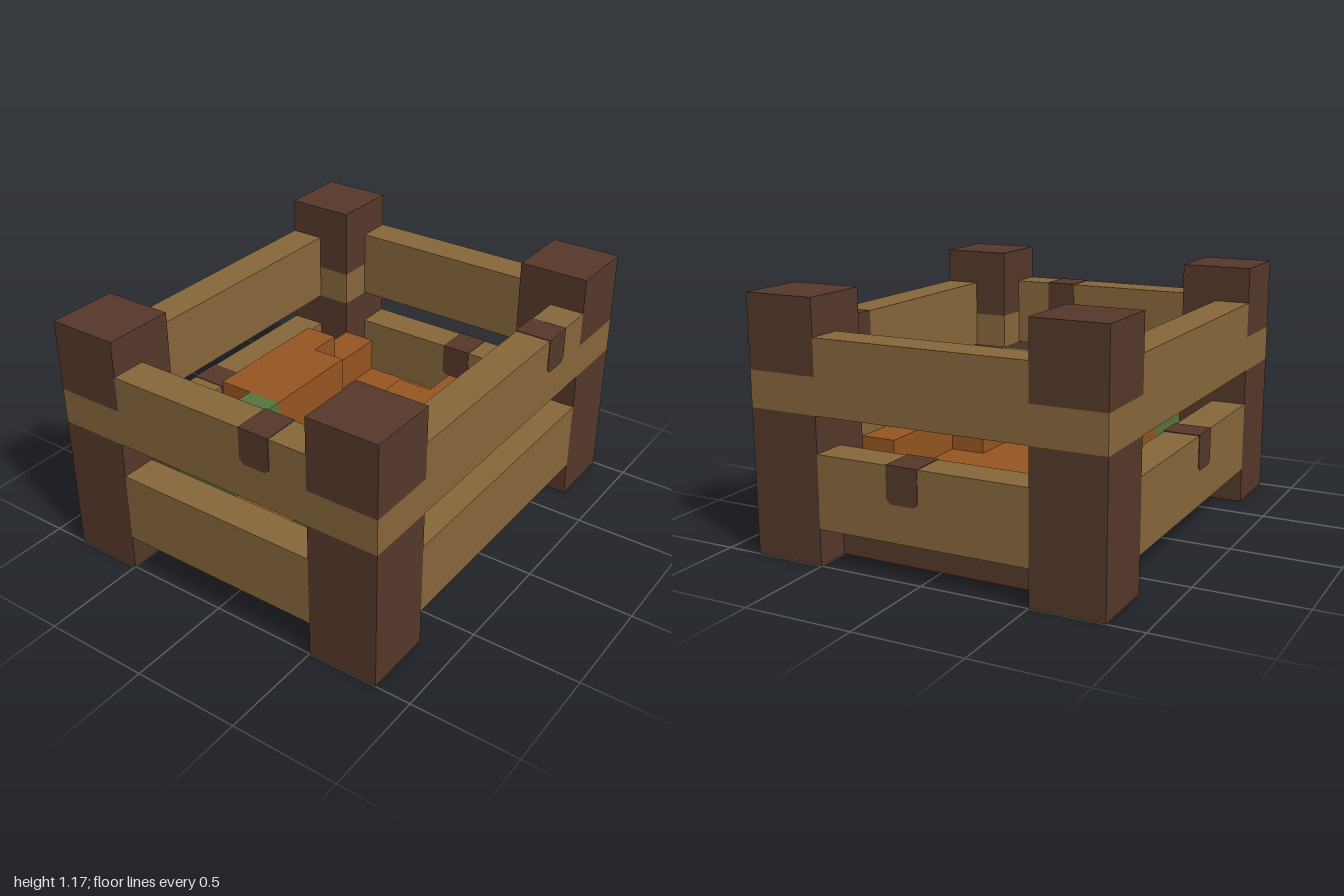
import * as THREE from 'three';

const U = 1 / 6; // one modelling cell

const mat = (name, color) => {
  const m = new THREE.MeshStandardMaterial({ color });
  m.name = name;
  return m;
};

export function createModel() {
  const darkWood = mat('darkWood', 0x56382b);
  const paleWood = mat('paleWood', 0x87673b);
  const orange = mat('orange', 0x965521);
  const green = mat('green', 0x55753d);

  const crate = new THREE.Group();
  crate.name = 'vegetableCrate';

  // Box from its low and high corners, in cells
  const box = (parent, name, material, [x0, y0, z0], [x1, y1, z1]) => {
    const mesh = new THREE.Mesh(
      new THREE.BoxGeometry((x1 - x0) * U, (y1 - y0) * U, (z1 - z0) * U), material);
    mesh.position.set((x0 + x1) / 2 * U, (y0 + y1) / 2 * U, (z0 + z1) / 2 * U);
    mesh.name = name;
    parent.add(mesh);
    return mesh;
  };

  // Base slab
  box(crate, 'base', darkWood, [-5, 0, -4], [5, 1, 4]);

  // Corner posts, each with a pale band
  for (const sx of [-1, 1]) for (const sz of [-1, 1]) {
    const post = new THREE.Group();
    post.name = 'cornerPost';
    const section = (name, m, y0, y1) =>
      box(post, name, m, [sx * 5 - 1, y0, sz * 4 - 1], [sx * 5 + 1, y1, sz * 4 + 1]);
    section('postFoot', darkWood, 0, 4);
    section('postBand', paleWood, 4, 5);
    section('postCap', darkWood, 5, 7);
    crate.add(post);
  }

  // Two rails per side
  for (const [y0, y1, level] of [[1, 3, 'lower'], [4, 6, 'upper']]) {
    for (const s of [-1, 1]) {
      box(crate, level + (s > 0 ? 'FrontRail' : 'BackRail'), paleWood,
        [-4, y0, s * 4.5 - 0.5], [4, y1, s * 4.5 + 0.5]);
      box(crate, level + (s > 0 ? 'LeftRail' : 'RightRail'), paleWood,
        [s * 5.5 - 0.5, y0, -3], [s * 5.5 + 0.5, y1, 3]);
    }
  }

  // Dark strap wrapped over a rail, with clipped lower corners
  const strap = (x, top, z, alongZ) => {
    const w = 0.075, h = 0.165, c = 0.02, lift = 0.003, depth = U + 2 * lift;
    const shape = new THREE.Shape([
      [-w, lift], [-w, c - h], [c - w, -h], [w - c, -h], [w, c - h], [w, lift],
    ].map(([a, b]) => new THREE.Vector2(a, b)));
    const geo = new THREE.ExtrudeGeometry(shape, { depth, bevelEnabled: false });
    geo.translate(0, 0, -depth / 2);
    const mesh = new THREE.Mesh(geo, darkWood);
    mesh.position.set(x, top, z);
    if (alongZ) mesh.rotation.y = Math.PI / 2;
    mesh.name = 'railStrap';
    crate.add(mesh);
  };
  strap(0.415, 1, 4.5 * U, false);
  strap(-0.085, 0.5, -4.5 * U, false);
  strap(5.5 * U, 0.5, 0.08, true);
  strap(-5.5 * U, 1, 0.245, true);

  // Bottom layer of vegetables
  box(crate, 'lowerVegetables', orange, [-4, 1, -3], [4, 2, 3]);

  // Two stepped vegetables, mirrored front to back
  for (const s of [-1, 1]) {
    const veg = new THREE.Group();
    veg.name = s > 0 ? 'frontVegetable' : 'backVegetable';
    const part = (name, m, x0, x1, y0, y1, a, b) =>
      box(veg, name, m, [x0, y0, Math.min(s * a, s * b)], [x1, y1, Math.max(s * a, s * b)]);
    part('root', orange, -2, 1, 2, 4, 1, 3);
    part('rootTaper', orange, 1, 2, 2, 4, 2, 3);
    part('rootTip', orange, 2, 4, 2, 3, 2, 3);
    // Leaves alternate between tall and short
    part('tallLeaf', green, -4, -3, 2, 4, 2, 3);
    part('tallLeaf', green, -3, -2, 2, 4, 1, 2);
    part('shortLeaf', green, -4, -3, 2, 3, 1, 2);
    part('shortLeaf', green, -3, -2, 2, 3, 2, 3);
    crate.add(veg);
  }

  return crate;
}
